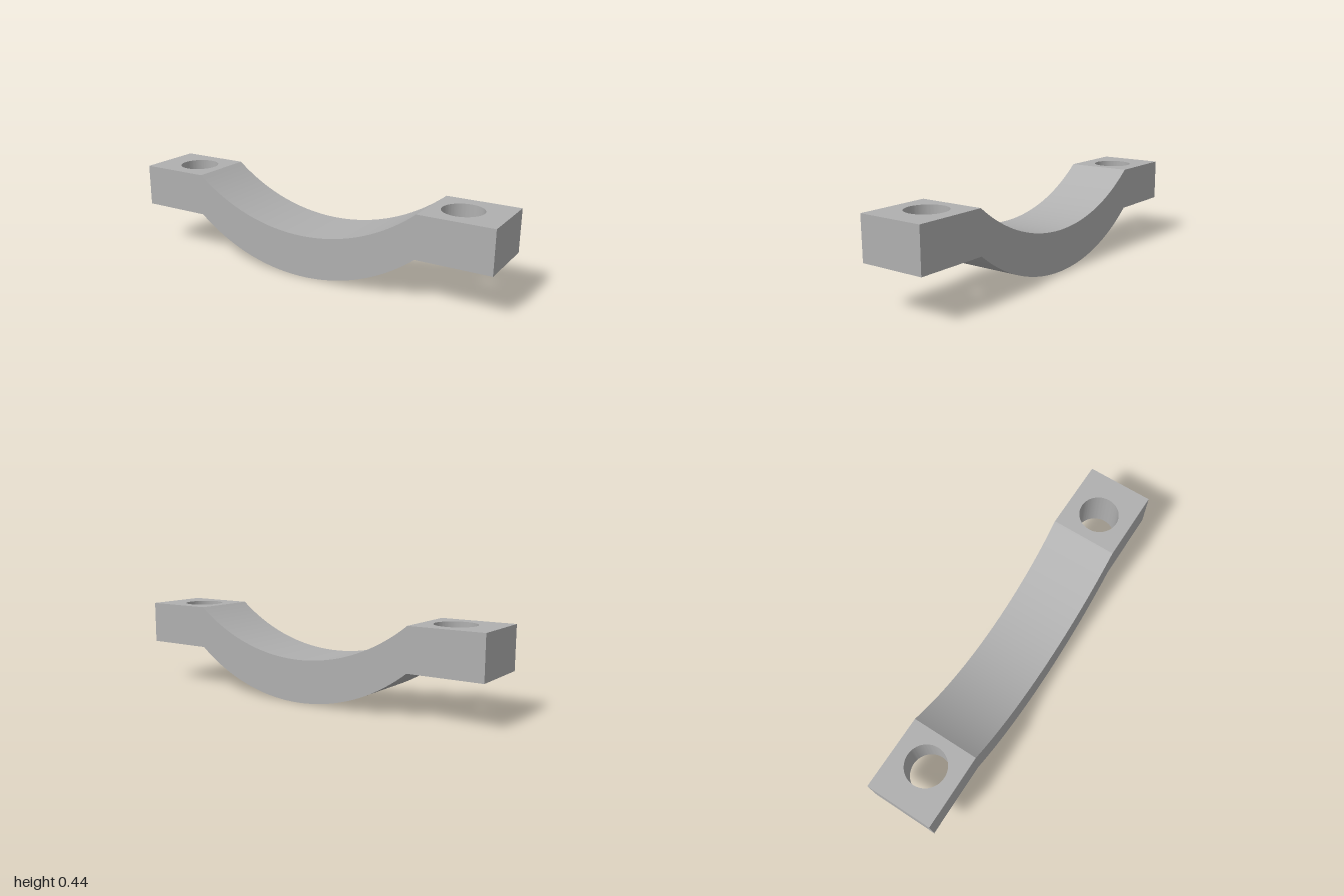
import * as THREE from 'three';
import { toCreasedNormals } from 'three/addons/utils/BufferGeometryUtils.js';

const HALF_DEPTH = 0.172; // half width along z
const BEND_X = 0.625;     // where the bow meets the pads
const SAG = 0.22;         // drop of the bow below the pads
const THICK = 0.218;      // vertical thickness throughout

export function createModel() {
  const model = new THREE.Group();
  model.name = 'saddleClamp';
  const metal = new THREE.MeshStandardMaterial({ color: 0xb0b0b0 });
  metal.name = 'grey metal';

  function addPart(name, shape, depth) {
    const geometry = new THREE.ExtrudeGeometry(shape, { depth, bevelEnabled: false, curveSegments: 48 });
    const mesh = new THREE.Mesh(toCreasedNormals(geometry, 0.5), metal);
    mesh.name = name;
    model.add(mesh);
    return mesh;
  }

  // Bow: one circular arc, repeated a thickness higher
  const radius = (BEND_X ** 2 + SAG ** 2) / (2 * SAG);
  const half = Math.asin(BEND_X / radius);
  const down = -Math.PI / 2;
  const bow = new THREE.Shape();
  bow.absarc(0, radius, radius, down - half, down + half, false);
  bow.absarc(0, radius + THICK, radius, down + half, down - half, true);
  bow.closePath();
  addPart('bow', bow, HALF_DEPTH * 2).position.z = -HALF_DEPTH;

  // Mounting pads with bolt holes, drawn in plan and extruded upward
  for (const side of [-1, 1]) {
    const inner = side * BEND_X, outer = side;
    const x0 = Math.min(inner, outer), x1 = Math.max(inner, outer);
    const pad = new THREE.Shape([
      new THREE.Vector2(x0, -HALF_DEPTH), new THREE.Vector2(x1, -HALF_DEPTH),
      new THREE.Vector2(x1, HALF_DEPTH), new THREE.Vector2(x0, HALF_DEPTH),
    ]);
    pad.holes.push(new THREE.Path().absarc(side * 0.781, 0, 0.102, 0, Math.PI * 2, true));
    const mesh = addPart(side > 0 ? 'leftPad' : 'rightPad', pad, THICK);
    mesh.rotation.x = -Math.PI / 2;
    mesh.position.y = SAG;
  }
  return model;
}
